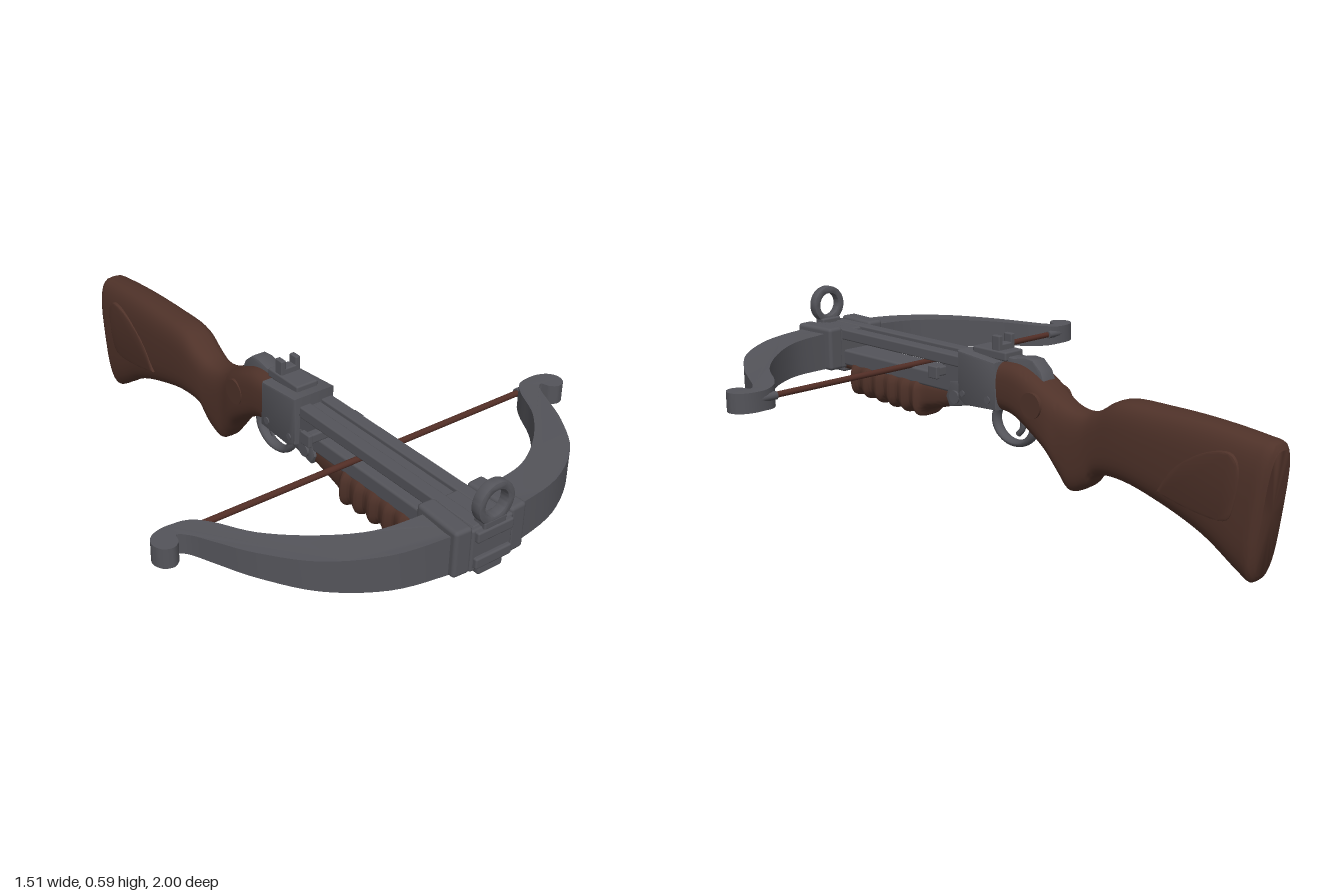
import * as THREE from 'three';
import { toCreasedNormals } from 'three/addons/utils/BufferGeometryUtils.js';
import { RoundedBoxGeometry } from 'three/addons/geometries/RoundedBoxGeometry.js';

const mat = (name, color) => {
  const m = new THREE.MeshStandardMaterial({ color });
  m.name = name;
  return m;
};

export function createModel() {
  const model = new THREE.Group();
  const steel = mat('gunmetal', 0x54545a);
  const wood = mat('walnut', 0x4f3229);
  const cord = mat('cord', 0x522e26);

  const add = (name, geo, material) => {
    const mesh = new THREE.Mesh(geo, material);
    mesh.name = name;
    model.add(mesh);
    return mesh;
  };

  // Box given by its limits on each axis
  const box = (name, x0, x1, y0, y1, z0, z1, material = steel, r = 0.008) => {
    const g = new RoundedBoxGeometry(x1 - x0, y1 - y0, z1 - z0, 2, r);
    g.translate((x0 + x1) / 2, (y0 + y1) / 2, (z0 + z1) / 2);
    return add(name, g, material);
  };

  // Side outline in (z, y), extruded across x and centred
  const sidePlate = (name, pts, width, material, bevel = 0.006, smooth = false) => {
    const v = pts.map(([z, y]) => new THREE.Vector2(z, y));
    const shape = new THREE.Shape();
    if (smooth) {
      shape.setFromPoints(new THREE.SplineCurve([...v, v[0]]).getPoints(40).slice(0, -1));
    } else shape.setFromPoints(v);
    const depth = width - 2 * bevel;
    const g = new THREE.ExtrudeGeometry(shape, {
      depth, bevelThickness: bevel, bevelSize: bevel, bevelOffset: -bevel, bevelSegments: 2,
    });
    g.translate(0, 0, -depth / 2);
    g.rotateY(-Math.PI / 2);
    return add(name, toCreasedNormals(g, 0.6), material);
  };

  // Loft front to back; station = [zTop, yTop, zBottom, yBottom, halfWidth]
  const loft = (name, stations, steps, power, material) => {
    const tops = new THREE.CatmullRomCurve3(stations.map((s) => new THREE.Vector3(s[4], s[1], s[0])), false, 'centripetal');
    const bots = new THREE.CatmullRomCurve3(stations.map((s) => new THREE.Vector3(0, s[3], s[2])), false, 'centripetal');
    const N = 32, pos = [], idx = [];
    const sq = (c) => Math.sign(c) * Math.abs(c) ** (2 / power);
    for (let i = 0; i <= steps; i++) {
      const t = tops.getPoint(i / steps), b = bots.getPoint(i / steps);
      for (let j = 0; j < N; j++) {
        const a = (j / N) * Math.PI * 2, k = (sq(Math.sin(a)) + 1) / 2;
        pos.push(t.x * sq(Math.cos(a)), b.y + (t.y - b.y) * k, b.z + (t.z - b.z) * k);
        if (i < steps) {
          const p = i * N + j, q = i * N + ((j + 1) % N);
          idx.push(p, p + N, q, q, p + N, q + N);
        }
      }
    }
    // End caps
    for (const i of [0, steps]) {
      const t = tops.getPoint(i / steps), b = bots.getPoint(i / steps);
      const c = pos.length / 3;
      pos.push(0, (t.y + b.y) / 2, (t.z + b.z) / 2);
      for (let j = 0; j < N; j++) {
        const p = i * N + j, q = i * N + ((j + 1) % N);
        if (i === 0) idx.push(c, p, q); else idx.push(c, q, p);
      }
    }
    const g = new THREE.BufferGeometry();
    g.setAttribute('position', new THREE.Float32BufferAttribute(pos, 3));
    g.setIndex(idx);
    return add(name, toCreasedNormals(g, 0.7), material);
  };

  // Shoulder stock with wrist and pistol grip
  loft('stock', [
    [0.05, 0.485, 0.05, 0.325, 0.07],
    [-0.04, 0.485, -0.02, 0.315, 0.072],
    [-0.1, 0.465, -0.1, 0.27, 0.072],
    [-0.16, 0.43, -0.165, 0.22, 0.068],
    [-0.21, 0.4, -0.215, 0.155, 0.06],
    [-0.26, 0.382, -0.25, 0.118, 0.058],
    [-0.315, 0.38, -0.315, 0.145, 0.058],
    [-0.37, 0.402, -0.355, 0.19, 0.061],
    [-0.44, 0.442, -0.45, 0.2, 0.067],
    [-0.61, 0.45, -0.61, 0.165, 0.07],
    [-0.78, 0.446, -0.77, 0.105, 0.07],
    [-0.94, 0.432, -0.89, 0.03, 0.07],
    [-0.985, 0.425, -0.93, 0.008, 0.066],
    [-1.0, 0.405, -0.947, 0.03, 0.05],
  ], 72, 3.2, wood);

  // Raised carving on both sides of the stock
  sidePlate('cheekPanel', [
    [-0.62, 0.215], [-0.74, 0.19], [-0.86, 0.185], [-0.895, 0.24], [-0.905, 0.34], [-0.87, 0.385], [-0.78, 0.365], [-0.68, 0.3],
  ], 0.148, wood, 0.006, true);
  const boss = new THREE.CylinderGeometry(0.042, 0.042, 0.15, 24);
  boss.rotateZ(Math.PI / 2).translate(0, 0.375, -0.12);
  add('gripBoss', boss, wood);

  // Ribbed fore grip
  const ribs = [[0.84, 0.37, 0.84, 0.325, 0.045], [0.775, 0.365, 0.765, 0.315, 0.055]];
  for (let i = 0; i <= 20; i++) {
    const z = 0.755 - i * 0.0165, wave = Math.cos((i / 20) * Math.PI * 10);
    ribs.push([z, 0.365, z, 0.252 - i * 0.0008 - 0.009 * wave, 0.069 + 0.005 * wave]);
  }
  ribs.push([0.41, 0.365, 0.41, 0.25, 0.06], [0.33, 0.365, 0.33, 0.275, 0.05], [0.24, 0.365, 0.24, 0.3, 0.048]);
  loft('foreGrip', ribs, 110, 3, wood);

  // Slotted rail: grooved top, lower beam and end blocks
  for (const s of [-1, 1]) {
    box('railEdge', s > 0 ? 0.02 : -0.062, s > 0 ? 0.062 : -0.02, 0.438, 0.475, 0.21, 0.97, steel, 0.005);
  }
  box('railGroove', -0.03, 0.03, 0.438, 0.462, 0.21, 0.97, steel, 0.004);
  box('lowerBeam', -0.055, 0.055, 0.345, 0.4, 0.19, 0.97);
  box('railRearBlock', -0.055, 0.055, 0.36, 0.46, 0.19, 0.3);
  box('cockingBar', -0.102, 0.102, 0.4, 0.432, 0.28, 0.308, steel, 0.006);
  for (const s of [-1, 1]) box('cockingTab', s * 0.097 - 0.008, s * 0.097 + 0.008, 0.395, 0.437, 0.272, 0.315, steel, 0.004);

  // Bow clamp at the front
  box('bowClamp', -0.075, 0.075, 0.335, 0.472, 0.81, 0.982);
  for (const s of [-1, 1]) {
    const strap = box('clampStrap', -0.03, 0.03, -0.075, 0.075, -0.085, 0.085, steel, 0.012);
    strap.position.set(s * 0.094, 0.408, 0.893);
    strap.rotation.y = s * 0.06;
  }
  for (const y of [0.365, 0.45]) box('clampBar', -0.065, 0.065, y - 0.017, y + 0.017, 0.95, 0.995, steel, 0.006);
  box('clampKeel', -0.045, 0.045, 0.315, 0.36, 0.83, 0.985);

  // Ring sight at the front
  const ring = new THREE.Shape().absarc(0, 0, 0.065, 0, Math.PI * 2);
  ring.holes.push(new THREE.Path().absarc(0, 0, 0.04, 0, Math.PI * 2, true));
  const ringGeo = new THREE.ExtrudeGeometry(ring, {
    depth: 0.022, bevelSize: 0.006, bevelThickness: 0.006, bevelOffset: -0.006, bevelSegments: 2, curveSegments: 24,
  });
  add('ringSight', toCreasedNormals(ringGeo.translate(0, 0.535, 0.961), 0.6), steel);
  box('ringFoot', -0.04, 0.04, 0.462, 0.488, 0.945, 0.99, steel, 0.006);

  // Bow limbs with scrolled tips, thinning in height towards the ends
  const limbOutline = [
    [0, 0.965], [0.13, 0.955], [0.3, 0.92], [0.455, 0.825], [0.56, 0.69], [0.615, 0.585], [0.65, 0.515], [0.678, 0.488],
    [0.69, 0.515], [0.715, 0.532], [0.745, 0.52], [0.756, 0.485], [0.735, 0.452], [0.685, 0.438], [0.622, 0.452],
    [0.575, 0.505], [0.51, 0.62], [0.4, 0.73], [0.27, 0.81], [0.13, 0.835], [0, 0.84],
  ];
  for (const s of [-1, 1]) {
    const curve = new THREE.SplineCurve(limbOutline.map(([x, z]) => new THREE.Vector2(s * x, z)));
    const g = new THREE.ExtrudeGeometry(new THREE.Shape(curve.getPoints(100)), { depth: 1, bevelEnabled: false });
    g.rotateX(Math.PI / 2);
    const p = g.attributes.position;
    for (let i = 0; i < p.count; i++) {
      const h = Math.max(0.064, 0.128 - 0.148 * p.getX(i) ** 2);
      p.setY(i, 0.4 + (p.getY(i) + 0.5) * h);
    }
    add(s > 0 ? 'leftLimb' : 'rightLimb', toCreasedNormals(g, 0.6), steel);
    const sleeve = new THREE.CylinderGeometry(0.014, 0.014, 0.07, 12);
    sleeve.rotateZ(Math.PI / 2).translate(s * 0.645, 0.405, 0.452);
    add('stringSleeve', sleeve, steel);
  }
  const string = new THREE.CylinderGeometry(0.01, 0.01, 1.28, 12);
  add('bowString', string.rotateZ(Math.PI / 2).translate(0, 0.405, 0.455), cord);

  // Receiver with hinge lug
  sidePlate('receiver', [
    [0.205, 0.5], [0.035, 0.485], [0.03, 0.33], [0.17, 0.322], [0.205, 0.34],
  ], 0.152, steel, 0.008);
  sidePlate('hingeLug', [
    [0.21, 0.395], [0.26, 0.385], [0.282, 0.33], [0.265, 0.297], [0.16, 0.32], [0.14, 0.36],
  ], 0.115, steel);
  const pins = [[0.235, 0.335, 0.022, 0.13], [0.065, 0.36, 0.012, 0.16], [0.18, 0.36, 0.01, 0.16]];
  for (const [z, y, r, w] of pins) {
    const pin = new THREE.CylinderGeometry(r, r, w, 16);
    add('receiverPin', pin.rotateZ(Math.PI / 2).translate(0, y, z), steel);
  }

  // Notched rear sight and tang
  box('sightBase', -0.04, 0.04, 0.485, 0.515, 0.02, 0.17, steel, 0.006);
  box('sightBlade', -0.035, 0.035, 0.5, 0.535, 0.052, 0.086, steel, 0.005);
  for (const s of [-1, 1]) box('sightPost', s * 0.027 - 0.009, s * 0.027 + 0.009, 0.51, 0.562, 0.052, 0.086, steel, 0.004);
  sidePlate('tang', [
    [0.05, 0.5], [0, 0.498], [-0.05, 0.508], [-0.085, 0.505], [-0.12, 0.475], [-0.135, 0.44], [-0.09, 0.45], [0.05, 0.45],
  ], 0.056, steel);

  // Trigger guard and trigger
  const guard = new THREE.TorusGeometry(0.085, 0.014, 10, 36);
  guard.rotateY(Math.PI / 2).scale(1.4, 0.82, 1).translate(0, 0.283, 0.015);
  add('triggerGuard', guard, steel);
  const triggerPath = new THREE.CatmullRomCurve3(
    [[0.33, 0], [0.29, -0.018], [0.265, -0.016], [0.245, 0.002]].map(([y, z]) => new THREE.Vector3(0, y, z)));
  add('trigger', new THREE.TubeGeometry(triggerPath, 12, 0.01, 8), steel);

  return model;
}
